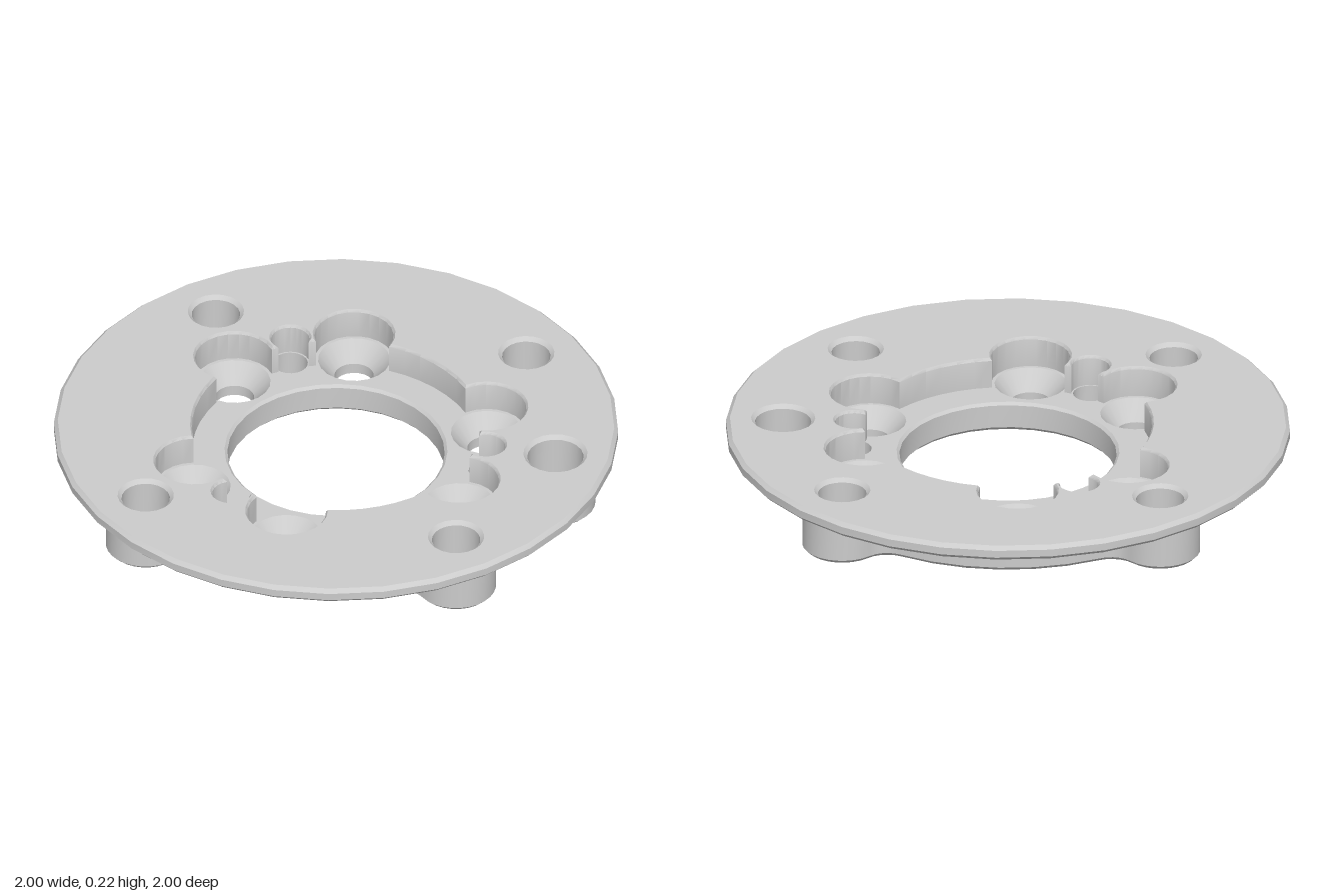
import * as THREE from 'three';
import { mergeGeometries, toCreasedNormals } from 'three/addons/utils/BufferGeometryUtils.js';

const RAD = Math.PI / 180;

// Points along an arc, without its end point
function arc(cx, cy, r, from, to, n) {
  return Array.from({ length: n }, (_, i) => {
    const t = from + (to - from) * i / n;
    return new THREE.Vector2(cx + r * Math.cos(t), cy + r * Math.sin(t));
  });
}

const circle = (r, n = 20, cx = 0, cy = 0) => arc(cx, cy, r, 0, Math.PI * 2, n);
const polar = (d, deg) => [d * Math.cos(deg * RAD), d * Math.sin(deg * RAD)];

// Circle joined with round lobes, optionally filleted; lobes sorted by angle.
// "grow" offsets the outline for chamfers.
function lobedOutline(R, lobes, fillet = 0, grow = 0) {
  R += grow;
  const f = fillet > 0 ? fillet - grow : 0;
  const parts = lobes.map(({ deg, d, a }) => {
    const A = a + grow + f, B = R + f;
    const alpha = Math.acos((B * B + d * d - A * A) / (2 * B * d));
    const beta = Math.atan2(B * Math.sin(alpha), B * Math.cos(alpha) - d);
    return { th: deg * RAD, d, a: a + grow, alpha, beta };
  });
  const pts = [];
  parts.forEach(({ th, d, a, alpha, beta }, i) => {
    const corner = (s, from, to) => {
      if (f <= 0) return;
      const c = th + s * alpha;
      pts.push(...arc((R + f) * Math.cos(c), (R + f) * Math.sin(c), f, from + Math.PI, to + Math.PI, 5));
    };
    corner(-1, th - alpha, th - beta);
    pts.push(...arc(d * Math.cos(th), d * Math.sin(th), a, th - beta, th + beta, 14));
    corner(1, th + beta, th + alpha);
    const next = parts[(i + 1) % parts.length];
    const end = next.th - next.alpha + (i === parts.length - 1 ? Math.PI * 2 : 0);
    pts.push(...arc(0, 0, R, th + alpha, end, 6));
  });
  return pts;
}

// Wall through stacked rings: bottom to top faces out, top to bottom faces in
function wall(...rings) {
  const n = rings[0][0].length, pos = [], index = [];
  for (const [pts, y] of rings) for (const p of pts) pos.push(p.x, y, -p.y);
  for (let k = 0; k < rings.length - 1; k++) {
    for (let i = 0; i < n; i++) {
      const a = k * n + i, b = k * n + (i + 1) % n;
      index.push(a, b, b + n, a, b + n, a + n);
    }
  }
  const g = new THREE.BufferGeometry();
  g.setAttribute('position', new THREE.Float32BufferAttribute(pos, 3));
  g.setIndex(index);
  return g;
}

// Flat face with holes at height y
function face(outer, holes, y, down = false) {
  const shape = new THREE.Shape(outer);
  shape.holes = holes.map((h) => new THREE.Path(h));
  const g = new THREE.ShapeGeometry(shape).rotateX(-Math.PI / 2).translate(0, y, 0);
  g.deleteAttribute('uv');
  g.deleteAttribute('normal');
  if (down) g.setIndex(Array.from(g.index.array).reverse());
  return g;
}

export function createModel() {
  const group = new THREE.Group();
  const material = new THREE.MeshStandardMaterial({ color: 0xcccccc });
  const add = (name, ...geos) => {
    const mesh = new THREE.Mesh(toCreasedNormals(mergeGeometries(geos), 35 * RAD), material);
    mesh.name = name;
    group.add(mesh);
  };

  const TOP = 0.225, UNDER = 0.17, FLOOR = 0.11, C = 0.014;

  // Hole layout
  const bolts = [0, 45, 135, 225, 315].map((deg) => ({ deg, d: 0.797, r: deg ? 0.086 : 0.1 }));
  const screws = [24, 96, 144, 216, 264, 336].map((deg) => ({ deg, d: 0.545, r: 0.07 }));
  const pins = [0, 120, 240].map((deg) => ({ deg, d: 0.545, r: 0.062 }));
  const ring = ({ deg, d, r }, grow = 0) => circle(r + grow, 20, ...polar(d, deg));

  // Outlines of the recess and the underside boss
  const recessLobes = [
    ...screws.map((s) => ({ ...s, a: 0.14 })),
    ...pins.map((p) => ({ ...p, a: 0.068 })),
  ].sort((p, q) => p.deg - q.deg);
  const recess = (grow) => lobedOutline(0.51, recessLobes, 0, grow);
  const bossLobes = bolts.map((b) => ({ ...b, a: 0.142 }));
  const boss = (grow) => lobedOutline(0.737, bossLobes, 0.09, grow);
  const bore = (grow) => circle(0.385 + grow, 32);
  const rim = (r) => circle(r, 32);

  // Chamfered flange disc
  add('flange',
    face(rim(1 - C), [recess(0.007), ...bolts.map((b) => ring(b, C))], TOP),
    wall([rim(1 - C), UNDER], [rim(1), UNDER + C], [rim(1), TOP - C], [rim(1 - C), TOP]),
    face(rim(1 - C), [boss(0)], UNDER, true));

  // Lobed boss below the flange
  add('boss',
    wall([boss(-C), 0], [boss(0), C], [boss(0), UNDER]),
    face(boss(-C), [bore(C), ...bolts.map((b) => ring(b, C)),
      ...screws.map((s) => ring(s)), ...pins.map((p) => ring(p))], 0, true));

  // Recess with scalloped wall
  add('recess',
    wall([recess(0.007), TOP], [recess(0), TOP - 0.01], [recess(0), FLOOR]),
    face(recess(0), [bore(0.01), ...screws.map((s) => ring(s, 0.058)),
      ...pins.map((p) => ring(p))], FLOOR));

  // Central bore
  add('centreBore',
    wall([bore(0.01), FLOOR], [bore(0), FLOOR - 0.01], [bore(0), C], [bore(C), 0]));

  // Bolt holes with chamfered ends
  for (const b of bolts) {
    add('boltHole', wall([ring(b, C), TOP], [ring(b), TOP - C], [ring(b), C], [ring(b, C), 0]));
  }

  // Countersunk screw holes
  for (const s of screws) {
    add('screwHole', wall([ring(s, 0.058), FLOOR], [ring(s), 0.04], [ring(s), 0]));
  }

  // Straight pin holes
  for (const p of pins) add('pinHole', wall([ring(p), FLOOR], [ring(p), 0]));

  return group;
}
